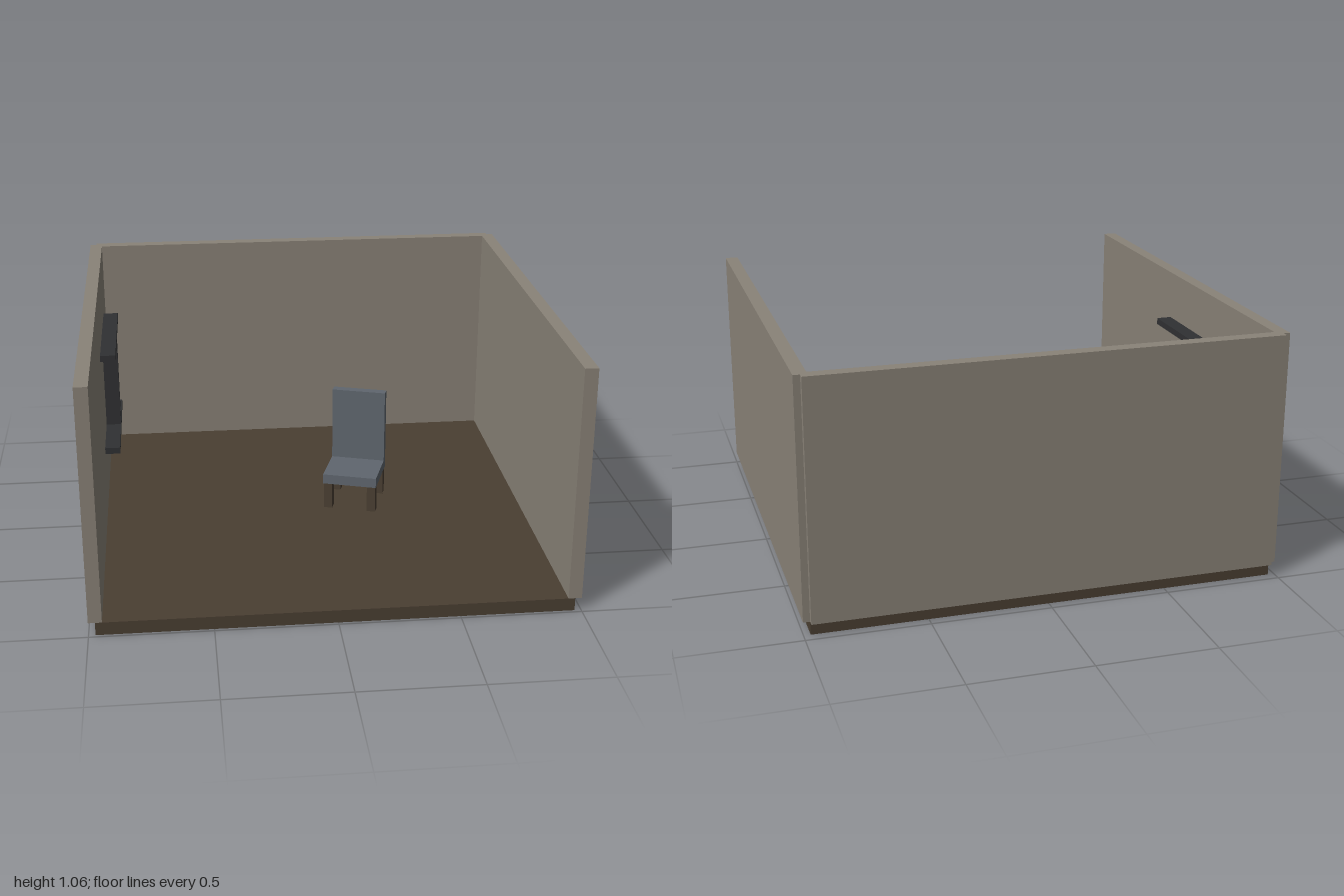
import * as THREE from 'three';

const material = (name, color) => {
  const m = new THREE.MeshStandardMaterial({ color });
  m.name = name;
  return m;
};

export function createModel() {
  const wallPaint = material('wallPaint', 0x8a8378);
  const darkWood = material('darkWood', 0x4a3f32);
  const chairFabric = material('chairFabric', 0x5f666e);
  const blackMetal = material('blackMetal', 0x303133);

  const room = new THREE.Group();
  room.name = 'room';

  // Box given by its size and centre
  const box = (parent, name, mat, size, centre) => {
    const mesh = new THREE.Mesh(new THREE.BoxGeometry(...size), mat);
    mesh.name = name;
    mesh.position.set(...centre);
    parent.add(mesh);
  };

  const T = 1 / 18; // floor and wall thickness
  const W = 35 * T; // floor side length
  const zMid = T / 4;

  // Floor and three walls centred on its edges
  box(room, 'floor', darkWood, [W, T, W], [0, T / 2, zMid]);
  box(room, 'backWall', wallPaint, [W, 1, T], [0, T + 0.5, zMid - W / 2]);
  for (const s of [-1, 1]) {
    box(room, s > 0 ? 'leftWall' : 'rightWall', wallPaint, [T, 1, W], [s * W / 2, T + 0.5, zMid]);
  }

  // Wall rack: two bars joined by a post
  const rack = new THREE.Group();
  rack.name = 'wallRack';
  rack.position.set(-0.903, 0.62, -0.211);
  box(rack, 'rackPost', blackMetal, [0.066, 0.406, 0.036], [0, 0, 0]);
  for (const s of [-1, 1]) {
    box(rack, s > 0 ? 'upperBar' : 'lowerBar', blackMetal, [0.066, 0.028, 0.586], [0, s * 0.217, 0]);
  }
  room.add(rack);

  // Chair, turned a little on the floor
  const chair = new THREE.Group();
  chair.name = 'chair';
  chair.position.set(0.195, T, -0.048);
  chair.rotation.y = -0.315;
  box(chair, 'seat', chairFabric, [0.245, 0.045, 0.25], [0, 0.1445, 0]);
  box(chair, 'backrest', chairFabric, [0.245, 0.336, 0.039], [0, 0.335, -0.1055]);
  for (const x of [-0.1, 0.1]) {
    for (const z of [-0.1, 0.1]) {
      box(chair, 'chairLeg', darkWood, [0.039, 0.122, 0.039], [x, 0.061, z]);
    }
  }
  room.add(chair);

  return room;
}
